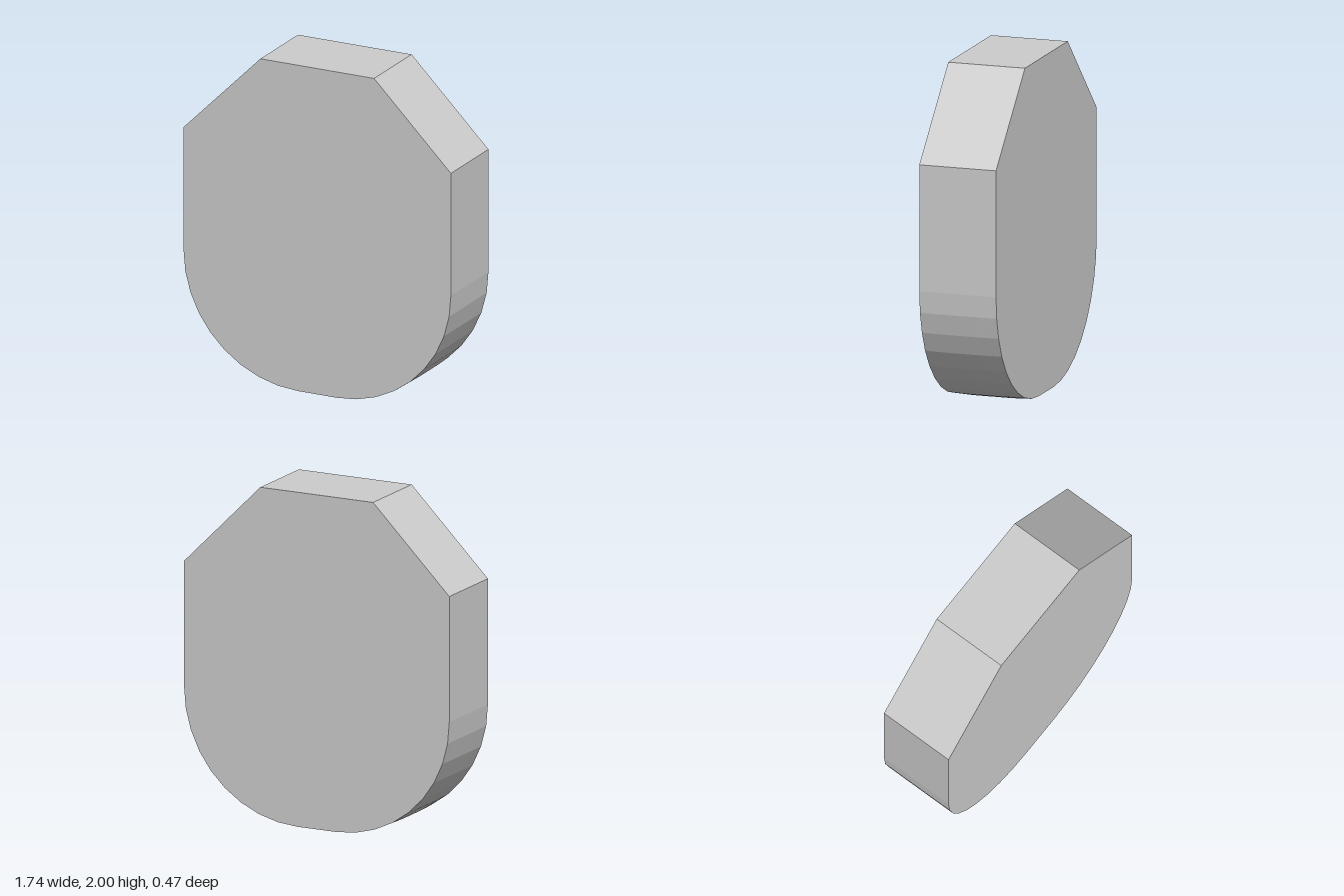
import * as THREE from 'three';

export function createModel() {
  const group = new THREE.Group();
  const halfWidth = 0.87, halfDepth = 0.235, shoulderY = 1.5;
  const topHalf = 0.37, arcX = 0.125, arcY = 0.75, radius = 0.745, bulge = 0.005;

  // Right half of the outline: flat base, ten-degree rounded corner, straight side, chamfered top
  const half = [];
  for (let i = 0; i <= 9; i++) {
    const a = (i / 9) * Math.PI / 2;
    half.push(new THREE.Vector2(arcX + radius * Math.sin(a), arcY - radius * Math.cos(a)));
  }
  half.push(new THREE.Vector2(halfWidth, shoulderY), new THREE.Vector2(topHalf, 2));
  const mirrored = half.map(p => new THREE.Vector2(-p.x, p.y)).reverse();

  const geometry = new THREE.ExtrudeGeometry(new THREE.Shape([...half, ...mirrored]), {
    depth: halfDepth * 2, steps: 4, bevelEnabled: false
  });
  geometry.translate(0, 0, -halfDepth);

  // The rounded underside swells very slightly between the two faces
  const pos = geometry.attributes.position;
  for (let i = 0; i < pos.count; i++) {
    const y = pos.getY(i);
    if (y < arcY && Math.abs(pos.getZ(i)) < halfDepth - 0.01) {
      pos.setY(i, y - bulge * (arcY - y) / radius);
    }
  }
  geometry.computeVertexNormals();

  const body = new THREE.Mesh(geometry,
    new THREE.MeshStandardMaterial({ color: 0xcccccc, flatShading: true }));
  body.name = 'roundedSlab';
  group.add(body);
  return group;
}
